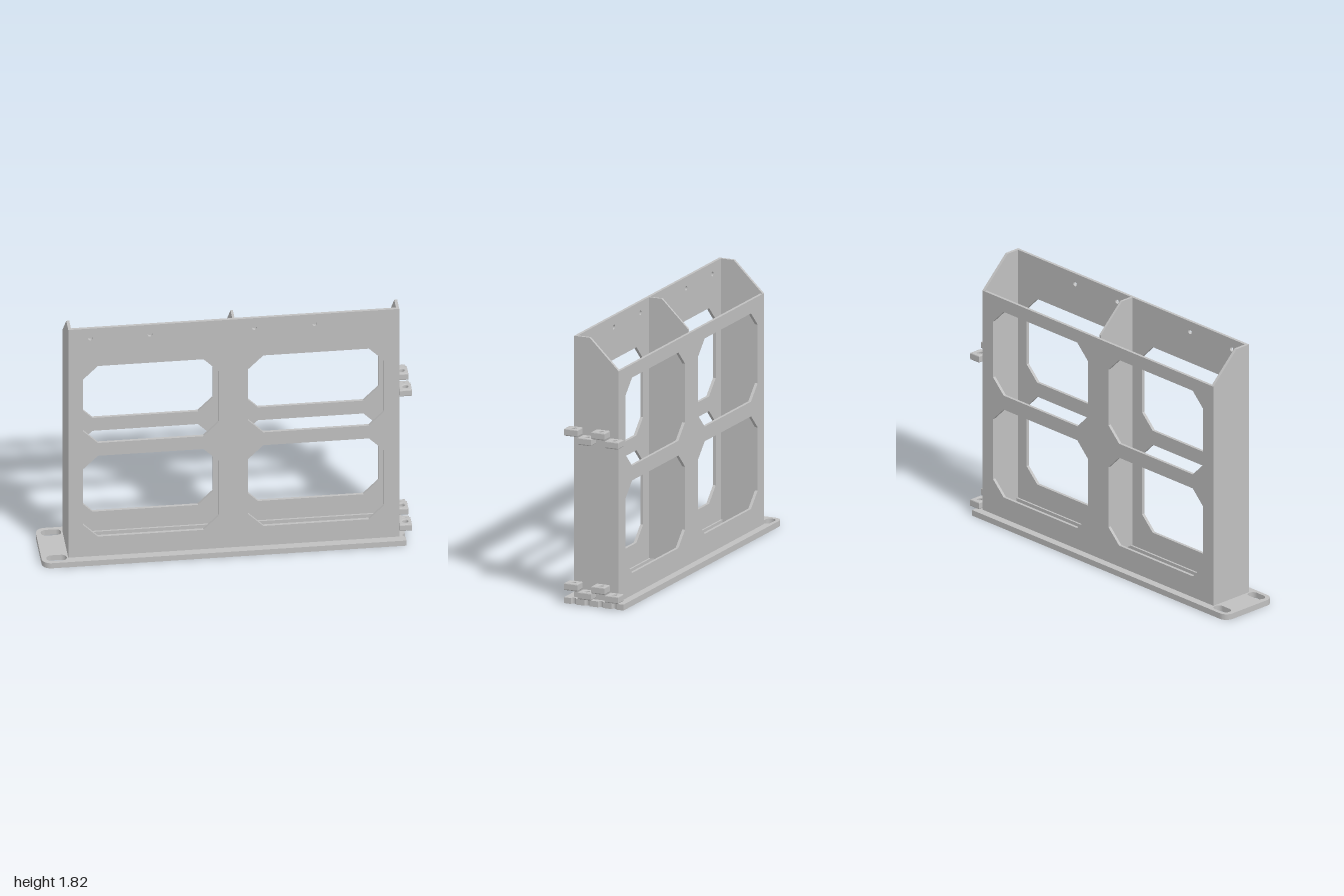
import * as THREE from 'three';

const HALF_W = 0.163, T = 0.02;          // half width of the box, sheet thickness
const U0 = -1.054, U1 = 1.135;           // ends of the box along its length
const BASE_H = 0.04, FRONT_TOP = 1.815, BACK_TOP = 1.61;
const KNUCKLES = [0.1485, 0.0495, -0.0495, -0.1485];
const PIN_U = 1.176, PIN_R = 0.018;

const polygon = pts => new THREE.Shape(pts.map(p => new THREE.Vector2(...p)));
const circle = (x, y, r) => new THREE.Path().absarc(x, y, r, 0, Math.PI * 2, false);
const extrude = (shape, depth, extra = {}) =>
  new THREE.ExtrudeGeometry(shape, { depth, bevelEnabled: false, curveSegments: 16, ...extra });

// Chamfered window opening
function windowHole(cx, y0, y1, half = 0.449, c = 0.1) {
  const a = cx - half, b = cx + half;
  return polygon([[a + c, y0], [b - c, y0], [b, y0 + c], [b, y1 - c],
    [b - c, y1], [a + c, y1], [a, y1 - c], [a, y0 + c]]);
}

// Long side sheet with four windows and optional screw holes
function sidePanel(top, screws) {
  const s = polygon([[U0 + T, BASE_H], [U1 - T, BASE_H], [U1 - T, top], [U0 + T, top]]);
  for (const cx of [-0.509, 0.585])
    for (const [y0, y1] of [[0.19, 0.82], [0.92, 1.52]]) s.holes.push(windowHole(cx, y0, y1));
  for (const x of screws) s.holes.push(circle(x, 1.74, 0.016));
  return extrude(s, T);
}

// Cross sheet with a sloped top corner at the back
function crossPlate(half, thickness) {
  const low = FRONT_TOP - (FRONT_TOP - BACK_TOP) * (half - 0.163 + 0.212) / 0.212;
  const s = polygon([[-half, BASE_H], [half, BASE_H], [half, low], [-0.049, FRONT_TOP], [-half, FRONT_TOP]]);
  return extrude(s, thickness).rotateY(Math.PI / 2);
}

// Base frame: rounded foot with slots, open middle, pin notches at the hinge end
function baseFrame() {
  const a = -1.23, w = 0.217, r = 0.06, q = Math.PI / 2;
  const s = new THREE.Shape();
  s.moveTo(a + r, -w);
  s.lineTo(PIN_U, -w);
  for (const c of [...KNUCKLES].reverse()) {
    s.lineTo(PIN_U, c - PIN_R);
    s.absarc(PIN_U, c, PIN_R, -q, q, true);
  }
  s.lineTo(PIN_U, w);
  s.lineTo(a + r, w);
  s.absarc(a + r, w - r, r, q, 2 * q, false);
  s.lineTo(a, -w + r);
  s.absarc(a + r, -w + r, r, 2 * q, 3 * q, false);
  s.holes.push(polygon([[U0 + T, -0.13], [U1 - T, -0.13], [U1 - T, 0.13], [U0 + T, 0.13]]));
  for (const c of [-0.156, 0.156]) {
    const slot = new THREE.Path();
    slot.absarc(-1.163, c, 0.035, q, 3 * q, false);
    slot.absarc(-1.098, c, 0.035, -q, q, false);
    slot.closePath();
    s.holes.push(slot);
  }
  return extrude(s, BASE_H).rotateX(-q);
}

// Hinge knuckle with a vertical pin hole and softened edges
function knuckle() {
  const b = 0.007, u0 = U1 + b - 0.003, u1 = 1.216 - b, h = 0.0485 - b;
  const s = polygon([[u0, -h], [u1, -h], [u1, h], [u0, h]]);
  s.holes.push(circle(PIN_U, 0, PIN_R + b));
  return extrude(s, 0.05 - 2 * b, { bevelEnabled: true, bevelSize: b, bevelThickness: b, bevelSegments: 2 })
    .rotateX(-Math.PI / 2).translate(0, b, 0);
}

export function createModel() {
  const gray = new THREE.MeshStandardMaterial({ color: 0xc0c0c0 });
  gray.name = 'lightGray';
  const model = new THREE.Group();
  model.name = 'rackFrame';
  const body = new THREE.Group();
  body.name = 'body';
  body.rotation.y = Math.PI / 4;         // the frame stands diagonally
  model.add(body);

  const add = (name, geometry, x = 0, y = 0, z = 0, parent = body) => {
    const m = new THREE.Mesh(geometry, gray);
    m.name = name;
    m.position.set(x, y, z);
    parent.add(m);
  };

  add('base', baseFrame());
  add('frontPanel', sidePanel(FRONT_TOP, [-0.908, -0.513, 0.177, 0.576]), 0, 0, HALF_W - T);
  add('backPanel', sidePanel(BACK_TOP, []), 0, 0, -HALF_W);
  add('footEndPlate', crossPlate(HALF_W, T), U0);
  add('hingeEndPlate', crossPlate(HALF_W, T), U1 - T);
  add('divider', crossPlate(HALF_W - T, 0.016), 0.032);

  // Two hinges of four staggered knuckles
  const block = knuckle();
  for (const [name, y] of [['lowerHinge', 0.05], ['upperHinge', 1.1]]) {
    const hinge = new THREE.Group();
    hinge.name = name;
    body.add(hinge);
    KNUCKLES.forEach((z, i) => add('knuckle', block, 0, y + (i % 2 ? 0 : 0.05), z, hinge));
  }
  return model;
}
